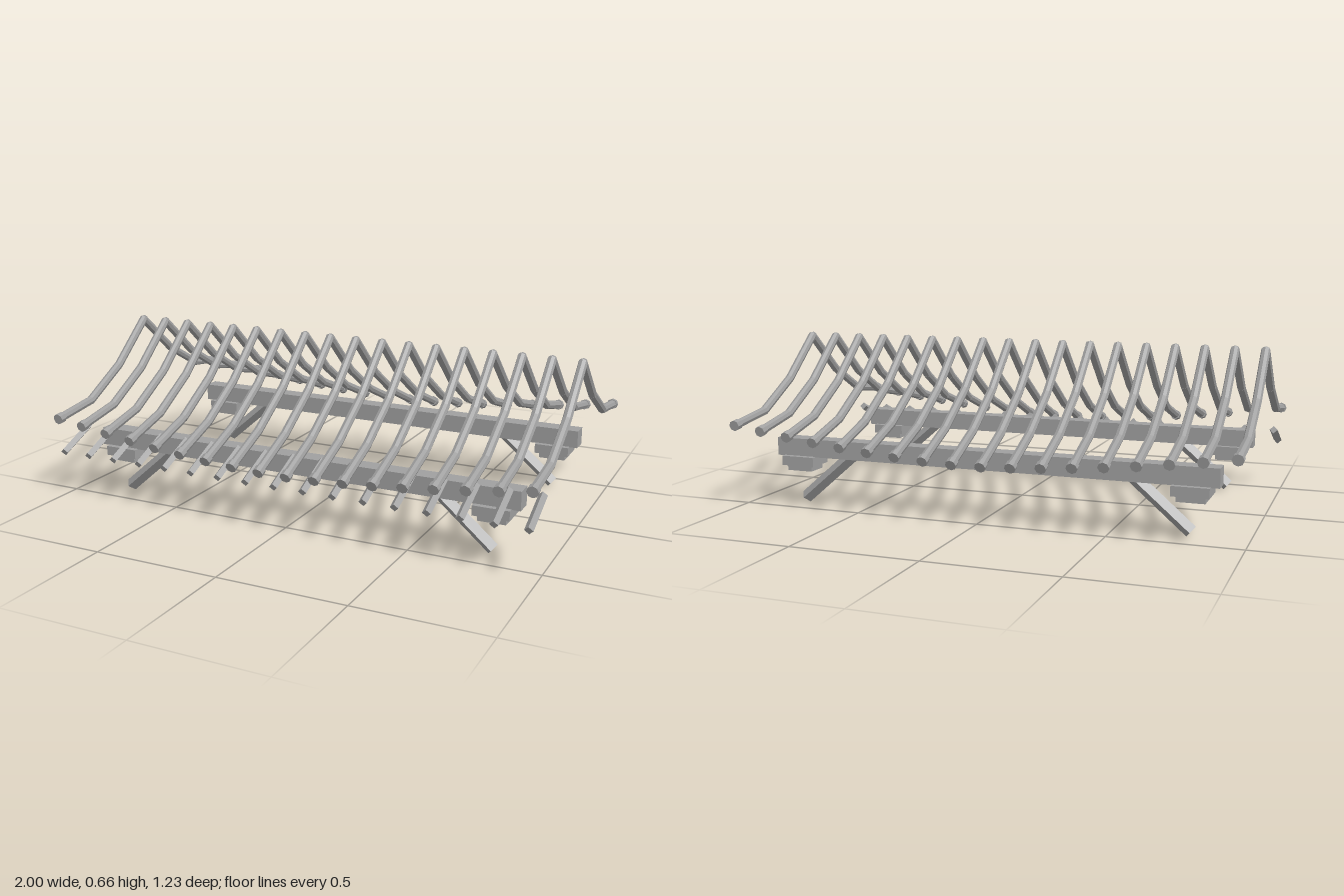
import * as THREE from 'three';

const UP = new THREE.Vector3(0, 1, 0);

export function createModel() {
  const root = new THREE.Group();
  root.name = 'rack';
  const grey = new THREE.MeshStandardMaterial({ color: 0xa0a0a0, flatShading: true });
  grey.name = 'weathered grey';

  function box(name, parent, w, h, d, x, y, z) {
    const mesh = new THREE.Mesh(new THREE.BoxGeometry(w, h, d), grey);
    mesh.name = name;
    mesh.position.set(x, y, z);
    parent.add(mesh);
  }

  // Straight rod between two points
  function rod(name, parent, a, b, radius, sides) {
    const dir = b.clone().sub(a);
    const mesh = new THREE.Mesh(new THREE.CylinderGeometry(radius, radius, dir.length(), sides), grey);
    mesh.name = name;
    mesh.position.copy(a).add(b).multiplyScalar(0.5);
    mesh.quaternion.setFromUnitVectors(UP, dir.normalize());
    parent.add(mesh);
  }

  // Bent ribs; the outer ones flare up at the ends
  for (let i = 0; i < 18; i++) {
    const x = -0.98 + (1.96 * i) / 17;
    const lift = Math.pow(Math.abs(x) / 0.98, 1.6);
    for (const s of [-1, 1]) {
      const rib = new THREE.Group();
      rib.name = s > 0 ? 'frontRib' : 'backRib';
      root.add(rib);
      const pts = [
        [0, 0.64],
        [0.195, 0.463 + 0.01 * lift],
        [0.395, 0.334 + 0.029 * lift],
        [0.6, 0.244 + 0.091 * lift],
      ].map(([z, y]) => new THREE.Vector3(x, y, s * z));
      for (let k = 0; k < 3; k++) {
        const step = pts[k + 1].clone().sub(pts[k]).normalize();
        // Small overlap closes the bends
        rod('ribSegment', rib, pts[k].clone().addScaledVector(step, -0.004),
          pts[k + 1].clone().addScaledVector(step, 0.004), 0.0175, 8);
        if (k === 2) {
          rod('ribTip', rib, pts[3].clone().addScaledVector(step, -0.02),
            pts[3].clone().addScaledVector(step, 0.007), 0.0215, 8);
        }
      }
    }
  }

  // Two long beams with stepped end brackets and splayed struts
  for (const z of [-0.398, 0.398]) {
    const side = new THREE.Group();
    side.name = z > 0 ? 'frontBeamAssembly' : 'backBeamAssembly';
    root.add(side);
    box('beam', side, 1.79, 0.072, 0.07, 0, 0.229, z);
    for (const s of [-1, 1]) {
      box('bracketUpper', side, 0.14, 0.038, 0.115, s * 0.793, 0.176, z);
      box('bracketLower', side, 0.107, 0.024, 0.086, s * 0.793, 0.147, z);
      rod('strut', side, new THREE.Vector3(s * 0.79, 0.02, z),
        new THREE.Vector3(s * 0.565, 0.213, z), 0.026, 4);
    }
  }

  // Row of square pegs slanting down from the front beam
  for (let i = 0; i < 17; i++) {
    const x = (i - 8) * 0.1213;
    rod('peg', root, new THREE.Vector3(x, 0.193, 0.593),
      new THREE.Vector3(x, 0.265, 0.43), 0.0165, 4);
  }

  return root;
}
